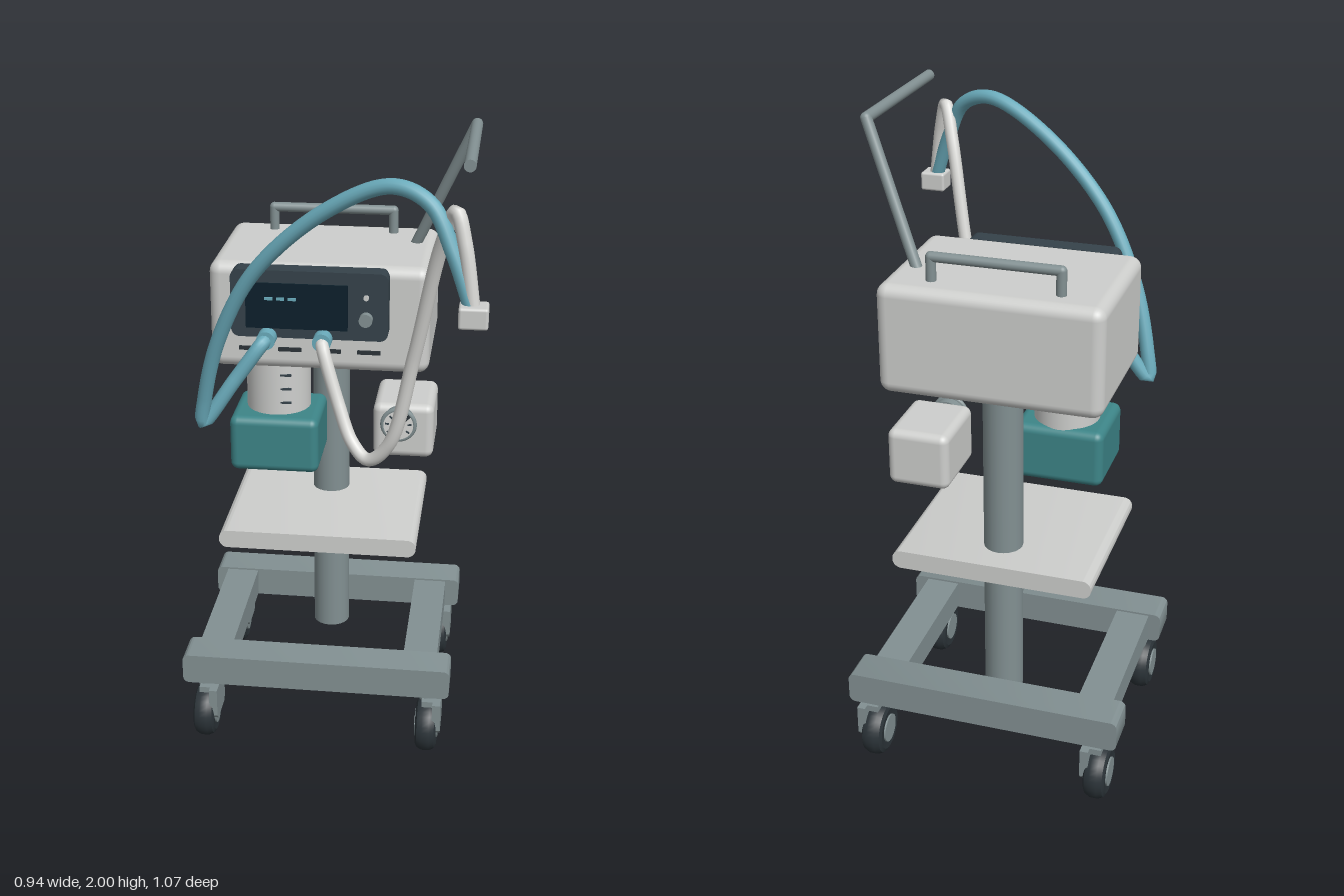
import * as THREE from 'three';
import { RoundedBoxGeometry } from 'three/addons/geometries/RoundedBoxGeometry.js';
import { toCreasedNormals } from 'three/addons/utils/BufferGeometryUtils.js';

const paint = (name, color) => Object.assign(new THREE.MeshStandardMaterial({ color }), { name });
const V = (x, y, z) => new THREE.Vector3(x, y, z);

export function createModel() {
  const shell = paint('light grey shell', 0xcecfcd);
  const steel = paint('blue grey steel', 0x829092);
  const teal = paint('teal plastic', 0x3d8588);
  const hoseBlue = paint('blue hose', 0x6aabbb);
  const hoseWhite = paint('white hose', 0xd8d8d5);
  const dark = paint('dark housing', 0x35424a);
  const rubber = paint('black rubber', 0x2b3338);
  const navy = paint('screen navy', 0x0b1f2b);

  const root = new THREE.Group();
  root.name = 'ventilatorCart';

  function add(name, geo, mat, x = 0, y = 0, z = 0, parent = root) {
    const m = new THREE.Mesh(geo, mat);
    m.name = name;
    m.position.set(x, y, z);
    parent.add(m);
    return m;
  }
  // box given by its limits, rounded on every edge
  function rounded(name, mat, [x0, x1], [y0, y1], [z0, z1], r) {
    return add(name, new RoundedBoxGeometry(x1 - x0, y1 - y0, z1 - z0, 4, r), mat,
      (x0 + x1) / 2, (y0 + y1) / 2, (z0 + z1) / 2);
  }
  // box given by its limits, rounded only as seen from the front
  function slab(name, mat, [x0, x1], [y0, y1], [z0, z1], r) {
    const s = new THREE.Shape();
    s.absarc(x1 - r, y1 - r, r, 0, Math.PI / 2);
    s.absarc(x0 + r, y1 - r, r, Math.PI / 2, Math.PI);
    s.absarc(x0 + r, y0 + r, r, Math.PI, Math.PI * 1.5);
    s.absarc(x1 - r, y0 + r, r, Math.PI * 1.5, Math.PI * 2);
    const g = new THREE.ExtrudeGeometry(s, { depth: z1 - z0, bevelEnabled: false, curveSegments: 6 });
    return add(name, toCreasedNormals(g, 0.6), mat, 0, 0, z0);
  }
  // straight rod between two points
  function rod(name, mat, a, b, r) {
    const m = add(name, new THREE.CylinderGeometry(r, r, a.distanceTo(b), 20), mat);
    m.position.copy(a).lerp(b, 0.5);
    m.quaternion.setFromUnitVectors(V(0, 1, 0), b.clone().sub(a).normalize());
    return m;
  }
  const joint = (name, mat, p, r) => add(name, new THREE.SphereGeometry(r, 20, 12), mat, p.x, p.y, p.z);
  const box = (w, h, d) => new THREE.BoxGeometry(w, h, d);
  const disc = (r, d, n = 28) => new THREE.CylinderGeometry(r, r, d, n).rotateX(Math.PI / 2);

  // base frame
  slab('rearRail', steel, [-0.47, 0.39], [0.22, 0.32], [-0.507, -0.39], 0.02);
  slab('frontRail', steel, [-0.47, 0.39], [0.22, 0.32], [0.093, 0.21], 0.02);
  for (const x of [-0.377, 0.29]) add('sideRail', box(0.108, 0.088, 0.5), steel, x, 0.27, -0.148);

  // casters
  const tyre = toCreasedNormals(new THREE.LatheGeometry([
    [0.03, -0.03], [0.068, -0.034], [0.08, -0.028], [0.088, -0.012],
    [0.088, 0.012], [0.08, 0.028], [0.068, 0.034], [0.03, 0.03],
  ].map(([r, h]) => new THREE.Vector2(r, h)), 32).rotateZ(Math.PI / 2), 0.5);
  const hub = new THREE.CylinderGeometry(0.045, 0.045, 0.074, 24).rotateZ(Math.PI / 2);
  const cheek = new THREE.Shape([[-0.065, 0.105], [-0.05, 0.088], [0.05, 0.088], [0.065, 0.105],
    [0.065, 0.198], [-0.065, 0.198]].map(([a, b]) => new THREE.Vector2(a, b)));
  const cheekGeo = new THREE.ExtrudeGeometry(cheek, { depth: 0.026, bevelEnabled: false })
    .rotateY(Math.PI / 2).translate(0.02, 0, 0);
  for (const x of [-0.405, 0.319]) for (const z of [0.155, -0.445]) {
    const c = new THREE.Group();
    c.name = 'caster';
    c.position.set(x, 0, z);
    root.add(c);
    add('tyre', tyre, rubber, 0, 0.09, 0, c);
    add('hub', hub, steel, 0, 0.09, 0, c);
    add('forkCheek', cheekGeo, steel, 0, 0, 0, c);
    add('forkBridge', box(0.05, 0.02, 0.09), steel, 0.01, 0.188, 0, c);
    add('stem', new THREE.CylinderGeometry(0.025, 0.025, 0.04, 18), steel, 0, 0.207, 0, c);
  }

  // column and shelf
  rod('column', steel, V(-0.043, 0.22, -0.265), V(-0.043, 1.28, -0.265), 0.06);
  slab('shelf', shell, [-0.355, 0.268], [0.675, 0.733], [-0.405, 0.12], 0.027);

  // main unit
  rounded('mainBody', shell, [-0.375, 0.29], [1.26, 1.592], [-0.412, 0.055], 0.035);
  slab('displayHousing', dark, [-0.3, 0.17], [1.38, 1.588], [0.04, 0.1], 0.025);
  add('screen', box(0.305, 0.14, 0.006), navy, -0.102, 1.48, 0.102);
  for (const x of [-0.185, -0.15, -0.115]) add('readout', box(0.024, 0.009, 0.004), hoseBlue, x, 1.503, 0.106);
  add('controlKnob', disc(0.02, 0.03), steel, 0.105, 1.45, 0.108);
  add('indicator', disc(0.008, 0.01), shell, 0.105, 1.515, 0.103);
  for (const x of [-0.25, -0.13, -0.01, 0.11]) add('ventSlot', box(0.07, 0.012, 0.008), rubber, x, 1.328, 0.057);
  for (const x of [-0.19, -0.023]) add('hosePort', disc(0.028, 0.095), hoseBlue, x, 1.383, 0.096);

  // carrying handle
  const h = [V(-0.232, 1.58, -0.328), V(-0.232, 1.663, -0.328), V(0.147, 1.663, -0.328), V(0.147, 1.58, -0.328)];
  for (let i = 0; i < 3; i++) rod('handleBar', steel, h[i], h[i + 1], 0.015);
  for (const i of [1, 2]) joint('handleCorner', steel, h[i], 0.015);

  // support arm
  const arm = [V(0.218, 1.57, -0.238), V(0.403, 1.983, -0.135), V(0.403, 1.983, 0.385)];
  rod('armUpright', steel, arm[0], arm[1], 0.017);
  rod('armBoom', steel, arm[1], arm[2], 0.017);
  joint('armElbow', steel, arm[1], 0.017);

  // breathing hoses and patient connector
  function hose(name, mat, r, pts) {
    const path = new THREE.CatmullRomCurve3(pts.map((p) => V(...p)), false, 'centripetal');
    add(name, new THREE.TubeGeometry(path, 120, r, 14), mat);
  }
  hose('blueHose', hoseBlue, 0.022, [[-0.19, 1.383, 0.12], [-0.2, 1.375, 0.148], [-0.28, 1.265, 0.17],
    [-0.375, 1.135, 0.19], [-0.365, 1.22, 0.205], [-0.31, 1.42, 0.245], [-0.195, 1.64, 0.29],
    [0.01, 1.835, 0.345], [0.2, 1.925, 0.393], [0.305, 1.89, 0.43], [0.37, 1.77, 0.465], [0.43, 1.61, 0.493]]);
  hose('whiteHose', hoseWhite, 0.02, [[-0.023, 1.383, 0.12], [-0.02, 1.375, 0.145], [0.035, 1.21, 0.195],
    [0.08, 1.11, 0.235], [0.13, 1.073, 0.27], [0.195, 1.14, 0.3], [0.265, 1.43, 0.328], [0.335, 1.77, 0.4],
    [0.375, 1.878, 0.453], [0.4, 1.8, 0.475], [0.43, 1.61, 0.493]]);
  rounded('patientConnector', shell, [0.39, 0.47], [1.58, 1.64], [0.458, 0.532], 0.008);

  // humidifier
  rounded('humidifierBase', teal, [-0.322, -0.045], [0.92, 1.1], [-0.18, 0.07], 0.025);
  add('waterChamber', new THREE.CylinderGeometry(0.1, 0.1, 0.18, 36), shell, -0.185, 1.185, -0.07);
  for (const y of [1.14, 1.185, 1.23]) add('levelMark', box(0.036, 0.006, 0.008), dark, -0.15, y, 0.024);

  // pressure regulator with dial
  rounded('regulatorBox', shell, [0.11, 0.302], [0.92, 1.1], [-0.333, -0.09], 0.025);
  const dial = new THREE.Group();
  dial.name = 'pressureDial';
  dial.position.set(0.194, 1.048, -0.09);
  root.add(dial);
  add('dialCase', disc(0.05, 0.04), steel, 0, 0, 0.015, dial);
  add('dialRim', new THREE.TorusGeometry(0.05, 0.008, 10, 32), steel, 0, 0, 0.03, dial);
  add('dialFace', disc(0.047, 0.006), hoseWhite, 0, 0, 0.036, dial);
  add('needle', box(0.07, 0.009, 0.008), rubber, 0.01, 0.01, 0.044, dial).rotation.z = 0.8;
  add('needlePin', disc(0.009, 0.014), rubber, 0, 0, 0.044, dial);
  for (let i = 0; i < 7; i++) {
    const a = -0.6 + i * 0.72;
    add('dialMark', box(0.012, 0.005, 0.004), dark, 0.036 * Math.cos(a), 0.036 * Math.sin(a), 0.04, dial).rotation.z = a;
  }
  return root;
}
